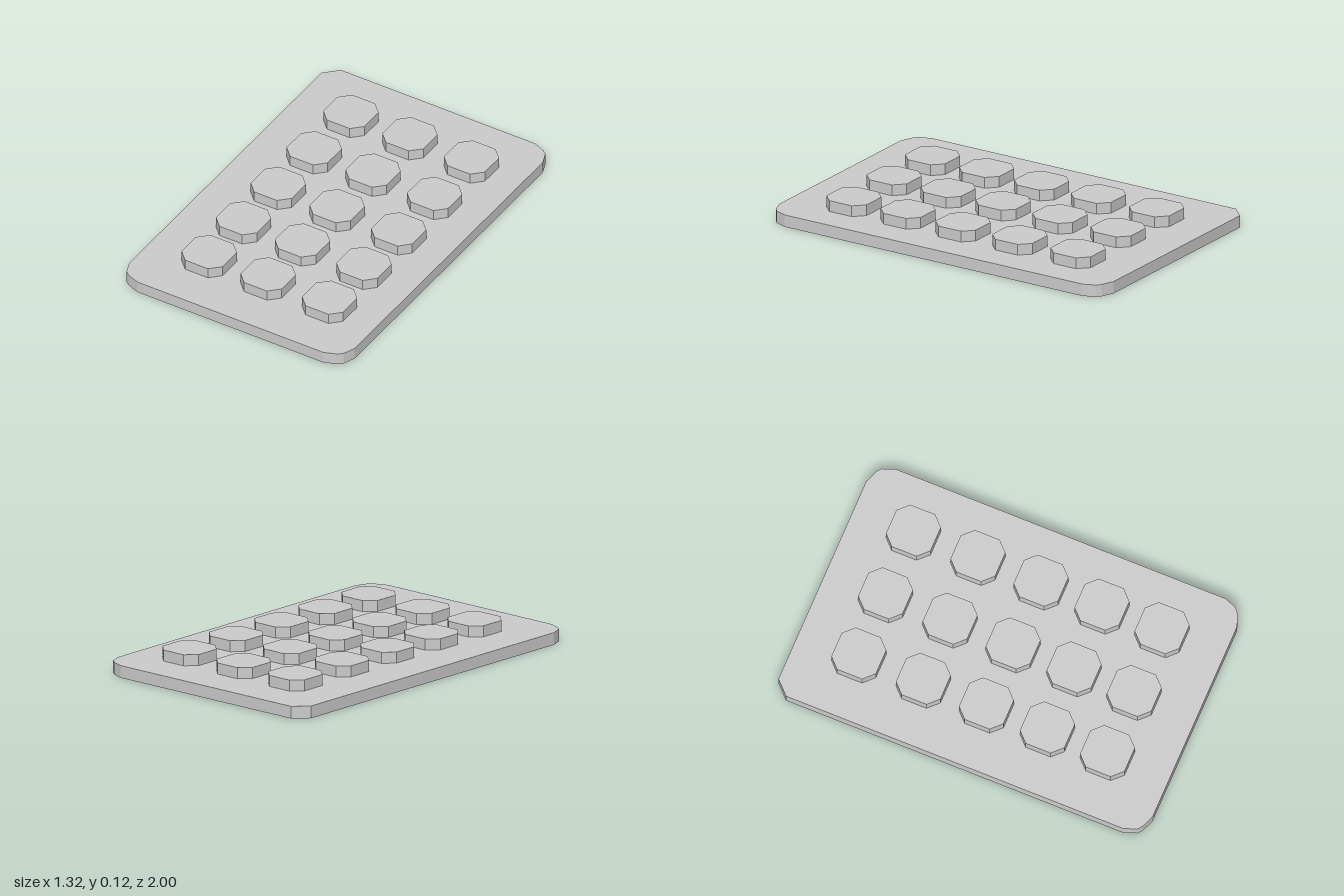
import * as THREE from 'three';

const material = new THREE.MeshStandardMaterial({ color: 0xcccccc, flatShading: true });

// Upright slab from an outline of [x, z] points
function slab(name, outline, height) {
  const shape = new THREE.Shape(outline.map(([x, z]) => new THREE.Vector2(x, -z)));
  const geometry = new THREE.ExtrudeGeometry(shape, { depth: height, bevelEnabled: false });
  geometry.rotateX(-Math.PI / 2);
  const mesh = new THREE.Mesh(geometry, material);
  mesh.name = name;
  return mesh;
}

export function createModel() {
  const group = new THREE.Group();
  group.name = 'keypad';
  const plateHeight = 0.063;

  // Base plate: three rounded corners and one plain chamfer at the back right
  const corner = [[0.66, 0.89], [0.635, 0.955], [0.61, 0.975], [0.545, 1]];
  const mirrored = (sx, sz) => corner.map(([x, z]) => [x * sx, z * sz]);
  const outline = [
    ...mirrored(1, 1),
    ...mirrored(-1, 1).reverse(),
    [-0.66, -0.93], [-0.59, -1],
    ...mirrored(1, -1).reverse(),
  ];
  group.add(slab('basePlate', outline, plateHeight));

  // Eight-sided buttons in three columns and five rows
  const r = 0.12, c = 0.067;
  const octagon = [[r, c], [c, r], [-c, r], [-r, c], [-r, -c], [-c, -r], [c, -r], [r, -c]];
  for (const z of [-0.675, -0.327, 0.013, 0.342, 0.666]) {
    for (const x of [-0.33, 0.015, 0.375]) {
      const button = slab('button', octagon, 0.057);
      button.position.set(x, plateHeight, z);
      group.add(button);
    }
  }
  return group;
}
